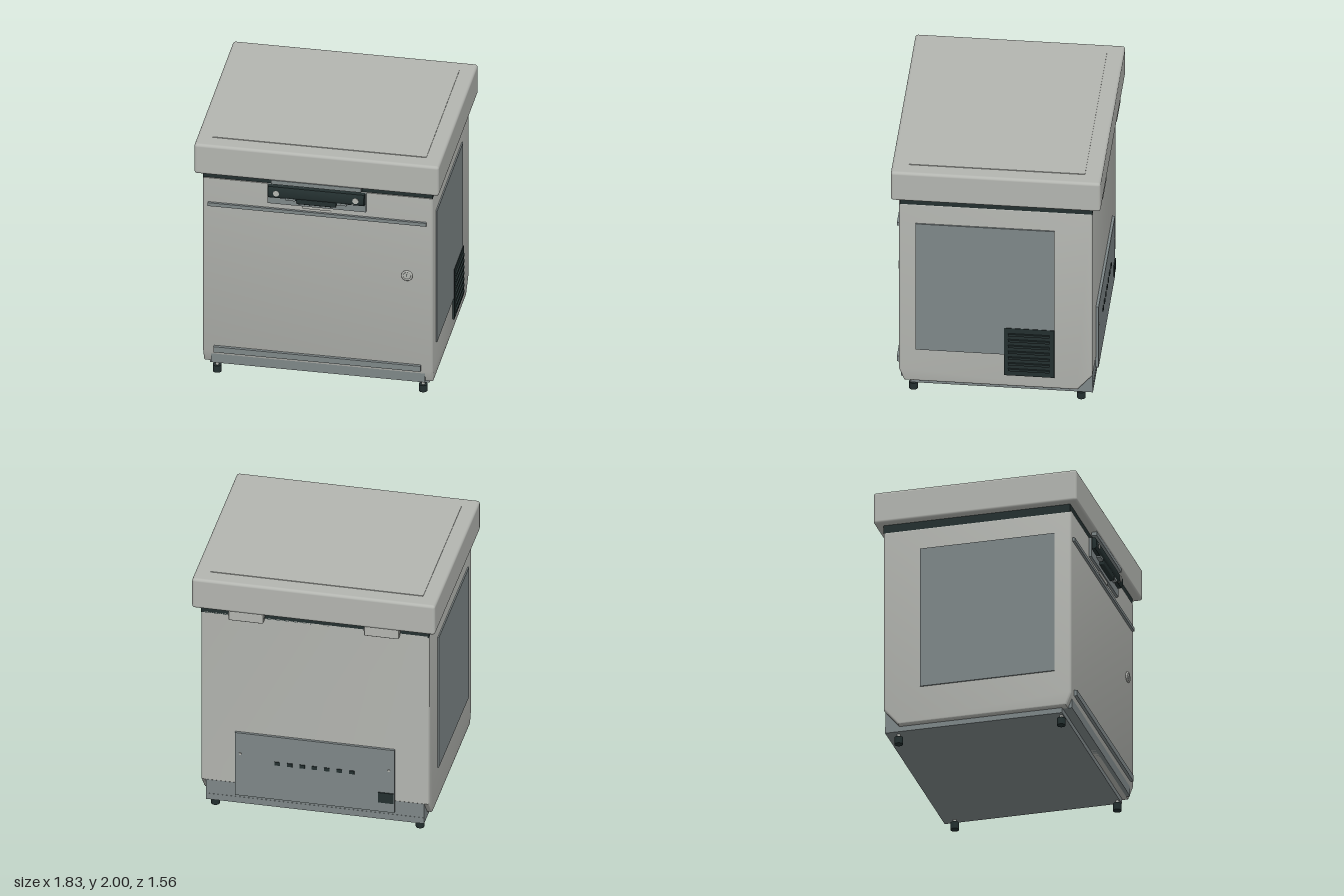
import * as THREE from 'three';
import { toCreasedNormals } from 'three/addons/utils/BufferGeometryUtils.js';
import { RoundedBoxGeometry } from 'three/addons/geometries/RoundedBoxGeometry.js';

export function createModel() {
  const model = new THREE.Group();
  model.name = 'chestFreezer';
  const material = (name, color) => {
    const m = new THREE.MeshStandardMaterial({ color });
    m.name = name;
    return m;
  };
  const shell = material('lightGreyShell', 0xb3b5b0);
  const panel = material('blueGreyPanel', 0x7e8788);
  const dark = material('darkTrim', 0x232f2f);

  const add = (name, geometry, mat) => {
    const mesh = new THREE.Mesh(geometry, mat);
    mesh.name = name;
    model.add(mesh);
    return mesh;
  };
  // Box given by its limits on each axis, optionally with rounded edges
  const box = (name, mat, x0, x1, y0, y1, z0, z1, r = 0) => {
    const w = x1 - x0, h = y1 - y0, d = z1 - z0;
    const g = r ? new RoundedBoxGeometry(w, h, d, 3, r) : new THREE.BoxGeometry(w, h, d);
    g.translate((x0 + x1) / 2, (y0 + y1) / 2, (z0 + z1) / 2);
    return add(name, g, mat);
  };
  // Cylinder whose axis runs along 'x', 'y' or 'z'
  const disc = (name, mat, r, length, axis, x, y, z) => {
    const g = new THREE.CylinderGeometry(r, r, length, 24);
    if (axis === 'x') g.rotateZ(Math.PI / 2);
    if (axis === 'z') g.rotateX(Math.PI / 2);
    g.translate(x, y, z);
    return add(name, g, mat);
  };
  // Side profile of [z, y] points extruded across the width, with soft edges
  const crossExtrude = (name, mat, points, x0, x1, bevel) => {
    const shape = new THREE.Shape(points.map(([z, y]) => new THREE.Vector2(-z, y)));
    const g = new THREE.ExtrudeGeometry(shape, {
      depth: x1 - x0 - 2 * bevel, bevelEnabled: bevel > 0, bevelThickness: bevel,
      bevelSize: bevel, bevelOffset: -bevel, bevelSegments: 3,
    });
    g.rotateY(Math.PI / 2);
    g.translate(x0 + bevel, 0, 0);
    return add(name, toCreasedNormals(g, 0.6), mat);
  };

  // Cabinet with cut-back lower edges
  crossExtrude('cabinet', shell, [
    [0.72, 0.22], [0.68, 0.12], [-0.6, 0.12], [-0.71, 0.25], [-0.71, 1.69], [0.72, 1.69],
  ], -0.86, 0.86, 0.015);

  // Base
  box('plinth', panel, -0.82, 0.82, 0.08, 0.13, -0.71, 0.64);
  box('frontKickPanel', panel, -0.8, 0.8, 0.12, 0.22, 0.5, 0.71);
  box('rearKickPanel', panel, -0.82, 0.82, 0.08, 0.25, -0.708, -0.6);

  // Feet
  for (const x of [-0.77, 0.77]) {
    for (const z of [-0.62, 0.62]) {
      disc('foot', dark, 0.032, 0.056, 'y', x, 0.028, z);
      disc('footStem', shell, 0.013, 0.07, 'y', x, 0.085, z);
    }
  }

  // Gasket and lid
  box('gasket', dark, -0.858, 0.858, 1.68, 1.755, -0.71, 0.712);
  box('lid', shell, -0.915, 0.915, 1.745, 1.995, -0.775, 0.775, 0.022);
  box('lidTopPanel', shell, -0.8, 0.8, 1.99, 2.0, -0.65, 0.65);

  // Front handle and latch
  box('handleBackPlate', panel, -0.37, 0.365, 1.535, 1.69, 0.715, 0.74);
  crossExtrude('handleGrip', dark, [
    [0.73, 1.6], [0.765, 1.6], [0.778, 1.62], [0.778, 1.67], [0.765, 1.692], [0.73, 1.692],
  ], -0.365, 0.358, 0.006);
  box('latch', dark, -0.15, 0.145, 1.565, 1.61, 0.73, 0.772, 0.008);
  box('latchBar', dark, -0.2, 0.195, 1.59, 1.61, 0.73, 0.765);
  box('latchTab', shell, -0.11, 0.105, 1.51, 1.545, 0.715, 0.73);
  box('lidCatch', panel, -0.34, 0.335, 1.717, 1.75, 0.73, 0.772);
  for (const x of [-0.3, 0.293]) {
    disc('handleBolt', shell, 0.023, 0.01, 'z', x, 1.645, 0.777);
  }
  disc('handleRivet', shell, 0.009, 0.01, 'z', 0.27, 1.615, 0.769);
  for (const x of [-0.195, 0.19]) {
    box('latchClip', panel, x - 0.035, x + 0.035, 1.588, 1.605, 0.73, 0.77);
  }

  // Front trim strips
  box('upperTrimStrip', panel, -0.82, 0.815, 1.46, 1.488, 0.715, 0.738);
  box('lowerTrimStrip', panel, -0.775, 0.772, 0.225, 0.272, 0.715, 0.743);

  // Key lock
  disc('lockBody', shell, 0.034, 0.016, 'z', 0.67, 1.025, 0.726);
  const ring = new THREE.TorusGeometry(0.035, 0.008, 10, 32);
  ring.translate(0.67, 1.025, 0.73);
  add('lockRing', ring, shell);
  box('keySlot', dark, 0.668, 0.672, 1.015, 1.035, 0.73, 0.735);

  // Side panels
  for (const s of [-1, 1]) {
    const inner = s * 0.855, outer = s * 0.87;
    box('sidePanel', panel, Math.min(inner, outer), Math.max(inner, outer), 0.405, 1.52, -0.43, 0.595);
  }

  // Ventilation grille on the left side
  box('ventGrille', dark, 0.855, 0.874, 0.225, 0.642, -0.43, -0.06);
  for (let i = 0; i < 7; i++) {
    const y = 0.28 + i * 0.0515;
    box('ventSlat', dark, 0.87, 0.887, y - 0.009, y + 0.009, -0.395, -0.09);
  }

  // Rear service panel
  box('rearServicePanel', panel, -0.6, 0.6, 0.155, 0.69, -0.73, -0.7);
  for (let i = 0; i < 7; i++) {
    const x = -0.28 + i * 0.0933;
    box('rearVentSlot', dark, x - 0.02, x + 0.02, 0.45, 0.478, -0.736, -0.725);
  }
  box('powerInlet', dark, -0.595, -0.48, 0.235, 0.32, -0.738, -0.72);
  for (const x of [-0.56, 0.56]) {
    disc('panelScrew', shell, 0.009, 0.012, 'z', x, 0.515, -0.73);
  }

  // Hinges with pivot pins
  for (const s of [-1, 1]) {
    const x = s * 0.51;
    box('hinge', shell, x - 0.13, x + 0.13, 1.67, 1.75, -0.766, -0.705, 0.008);
    disc('hingePin', shell, 0.015, 0.27, 'x', x, 1.715, -0.742);
  }
  return model;
}
